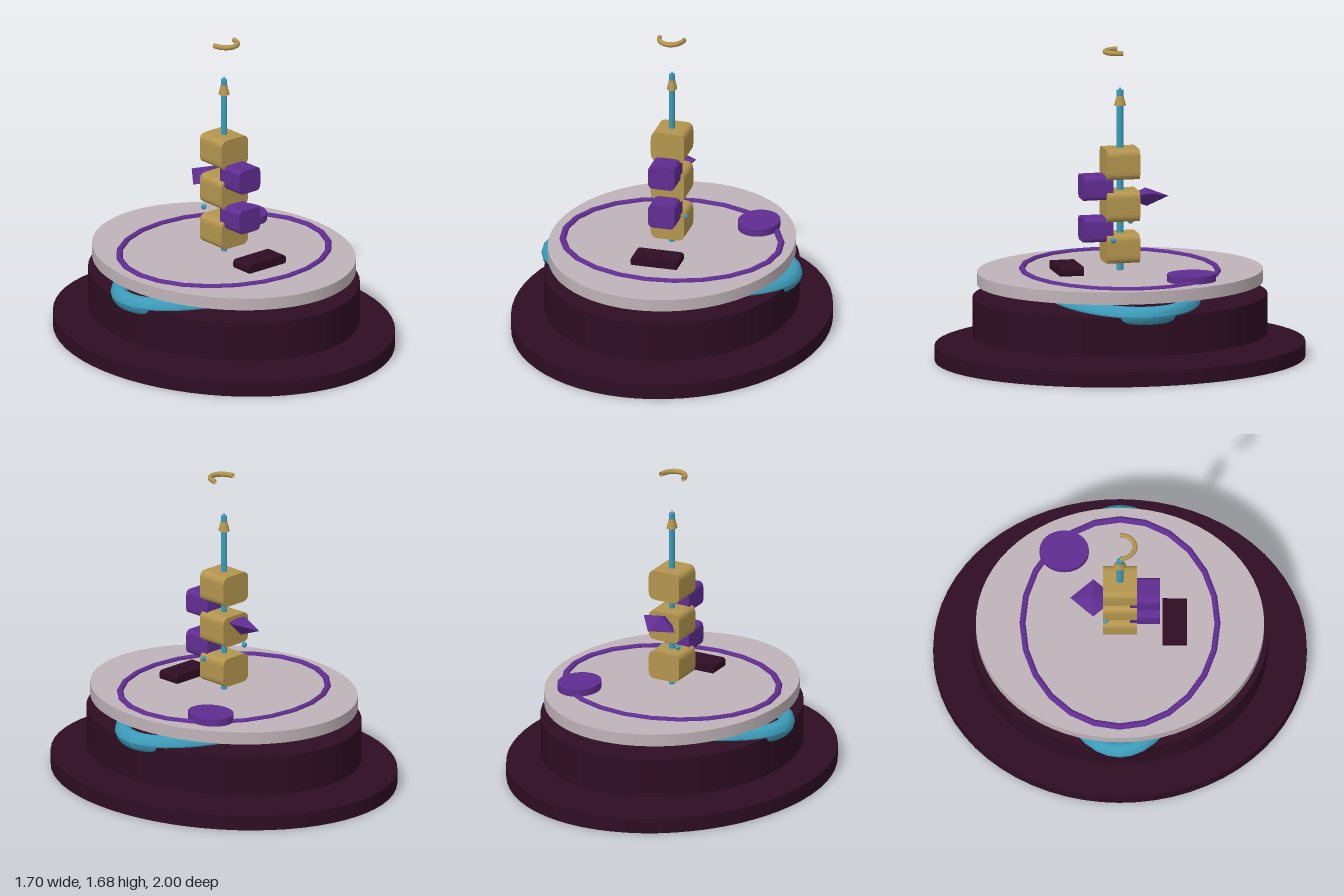
import * as THREE from 'three';

const mat = (name, color, side = THREE.FrontSide) => {
  const m = new THREE.MeshStandardMaterial({ color, side });
  m.name = name;
  return m;
};

export function createModel() {
  const plum = mat('dark plum', 0x2e0d23);
  const teal = mat('teal', 0x3c9cba);
  const gold = mat('gold', 0xb3954e, THREE.DoubleSide);
  const purple = mat('purple', 0x602d92);
  const pale = mat('pale mauve', 0xbfb3b8);
  const model = new THREE.Group();

  const add = (name, geo, material, x = 0, y = 0, z = 0) => {
    const mesh = new THREE.Mesh(geo, material);
    mesh.name = name;
    mesh.position.set(x, y, z);
    model.add(mesh);
    return mesh;
  };

  // Elliptical disc between two heights
  const disc = (name, rx, rz, y0, y1, material, x = 0, z = 0) => {
    const geo = new THREE.CylinderGeometry(1, 1, y1 - y0, 64).scale(rx, 1, rz);
    return add(name, geo, material, x, (y0 + y1) / 2, z);
  };

  // Horizontal elliptical ring given by its outer radii
  const ring = (name, rx, rz, tx, ty, tz, y, seg, material) => {
    const geo = new THREE.TorusGeometry(1, 0.1, 12, seg).rotateX(Math.PI / 2);
    const p = geo.attributes.position;
    for (let i = 0; i < p.count; i++) {
      const a = Math.atan2(p.getZ(i), p.getX(i));
      const out = (Math.hypot(p.getX(i), p.getZ(i)) - 1) / 0.1;
      p.setXYZ(i, Math.cos(a) * (rx - tx + out * tx), (p.getY(i) / 0.1) * ty,
        Math.sin(a) * (rz - tz + out * tz));
    }
    geo.computeVertexNormals();
    return add(name, geo, material, 0, y, 0);
  };

  // Block with rounded corners on the front outline and flat front and back
  const block = (name, w, y0, y1, z0, z1, r, material) => {
    const h = y1 - y0, a = w / 2, b = h / 2;
    const s = new THREE.Shape();
    s.moveTo(-a + r, -b);
    s.lineTo(a - r, -b);
    s.quadraticCurveTo(a, -b, a, -b + r);
    s.lineTo(a, b - r);
    s.quadraticCurveTo(a, b, a - r, b);
    s.lineTo(-a + r, b);
    s.quadraticCurveTo(-a, b, -a, b - r);
    s.lineTo(-a, -b + r);
    s.quadraticCurveTo(-a, -b, -a + r, -b);
    const geo = new THREE.ExtrudeGeometry(s, { depth: z1 - z0, bevelEnabled: false, curveSegments: 5 });
    return add(name, geo, material, 0, (y0 + y1) / 2, z0);
  };

  // Stacked base
  disc('baseDisc', 0.85, 1, 0, 0.083, plum);
  disc('drum', 0.675, 0.795, 0.13, 0.345, plum);
  ring('cushionRing', 0.717, 0.412, 0.045, 0.05, 0.05, 0.352, 40, teal);
  disc('topPlate', 0.656, 0.772, 0.413, 0.48, pale);

  // Details on the plate
  ring('plateRing', 0.608, 0.538, 0.018, 0.016, 0.016, 0.48, 24, purple);
  disc('roundPad', 0.112, 0.132, 0.478, 0.52, purple, 0.4, -0.3);
  block('smallStep', 0.26, 0.475, 0.527, 0.228, 0.358, 0.02, plum);

  // Central rod with its pointed tip and collar
  const rod = new THREE.CylinderGeometry(0.019, 0.019, 0.99, 12).scale(0.85, 1, 1);
  add('rod', rod, teal, 0, 0.965, 0);
  add('rodTip', new THREE.ConeGeometry(0.009, 0.02, 8), teal, 0, 1.469, 0);
  const collar = new THREE.CylinderGeometry(0.018, 0.033, 0.055, 16).scale(0.85, 1, 1);
  add('collar', collar, gold, 0, 1.404, 0);

  // Blocks threaded on the rod, and the pair set in front
  [[0.527, 0.685], [0.752, 0.918], [0.981, 1.147]].forEach(([a, b]) =>
    block('towerBlock', 0.186, a, b, -0.09, 0.09, 0.04, gold));
  [[0.645, 0.777], [0.873, 1.005]].forEach(([a, b]) =>
    block('frontBlock', 0.147, a, b, 0.053, 0.213, 0.03, purple));

  // Faceted spike at the back, tilted about its length
  const spike = new THREE.OctahedronGeometry(1).scale(0.1, 0.05, 0.124).rotateZ(0.34);
  add('backSpike', spike, purple, 0, 0.872, -0.143);

  // Small beads
  [[-0.078, 0.728, -0.076], [0.091, 0.658, 0.059]].forEach((p) =>
    add('bead', new THREE.SphereGeometry(0.015, 12, 8), teal, ...p));

  // Floating half ring
  const arc = new THREE.TorusGeometry(0.08, 0.014, 10, 20, Math.PI)
    .rotateX(Math.PI / 2).scale(0.85, 1, 1);
  add('floatingArc', arc, gold, 0, 1.67, 0);

  return model;
}
